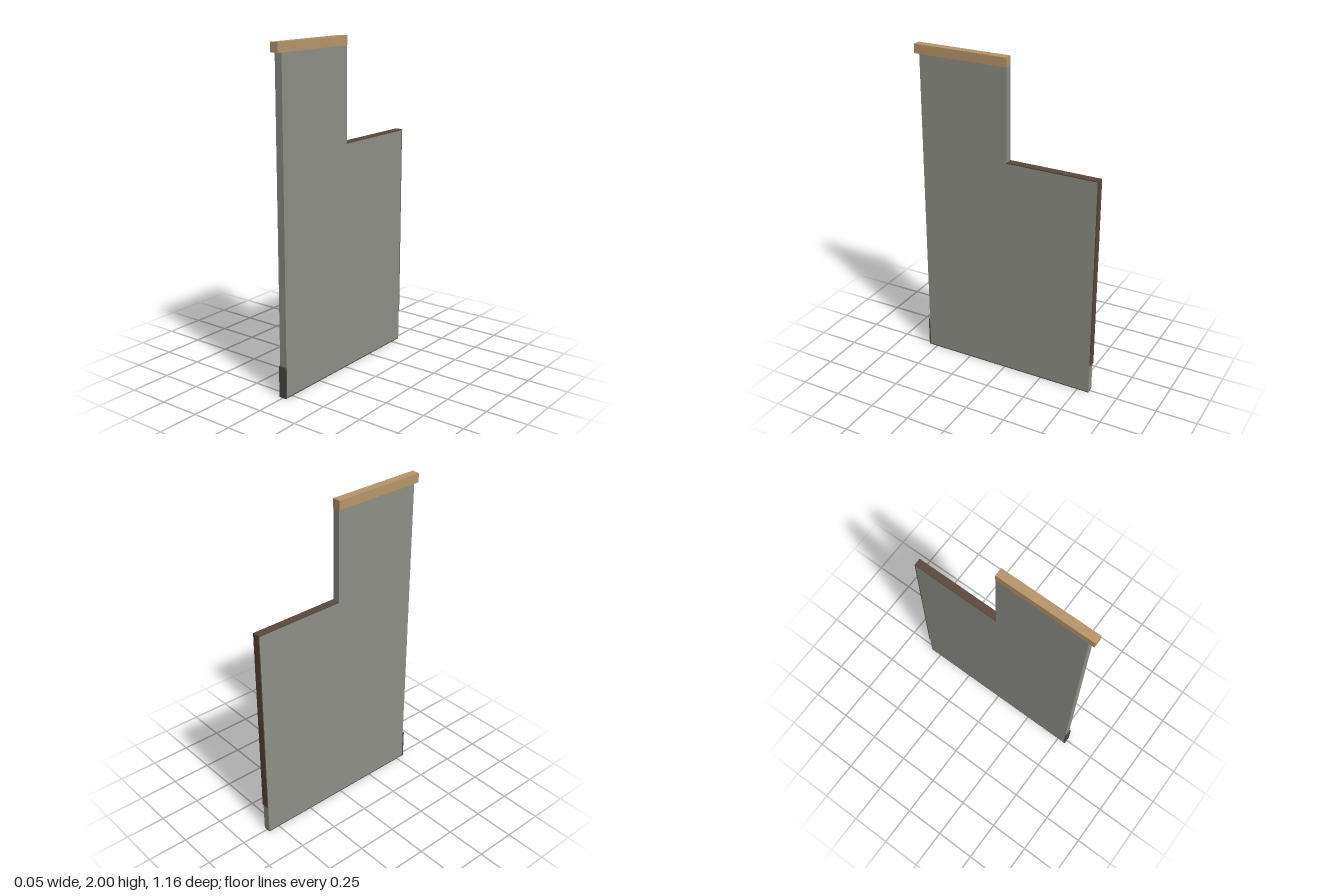
import * as THREE from 'three';

const WIDTH = 0.047;

export function createModel() {
  const group = new THREE.Group();
  const paint = (color) => new THREE.MeshStandardMaterial({ color });
  const grey = paint(0x8e8f87);
  const wood = paint(0xb8956a);
  const brown = paint(0x5a483c);
  const dark = paint(0x4a4a48);

  // Box spanning the given y and z ranges, centred on x
  function slab(name, material, y0, y1, z0, z1, width = WIDTH) {
    const mesh = new THREE.Mesh(new THREE.BoxGeometry(width, y1 - y0, z1 - z0), material);
    mesh.position.set(0, (y0 + y1) / 2, (z0 + z1) / 2);
    mesh.name = name;
    group.add(mesh);
  }

  // Partition panels: tall in front, low behind
  slab('tallPanel', grey, 0.006, 1.945, -0.013, 0.547);
  slab('lowPanel', grey, 0.006, 1.384, -0.574, -0.013);

  // Wooden cap overhanging the front edge
  slab('topCap', wood, 1.945, 2, -0.013, 0.58, 0.05);

  // Thin edging on the low panel
  slab('lowPanelTopTrim', brown, 1.384, 1.39, -0.58, -0.013);
  slab('lowPanelBackTrim', brown, 0.19, 1.384, -0.58, -0.574);

  // Kick plate and base strip
  slab('kickPlate', dark, 0, 0.19, 0.547, 0.556, 0.05);
  slab('baseStrip', dark, 0, 0.006, -0.574, 0.547);

  return group;
}
